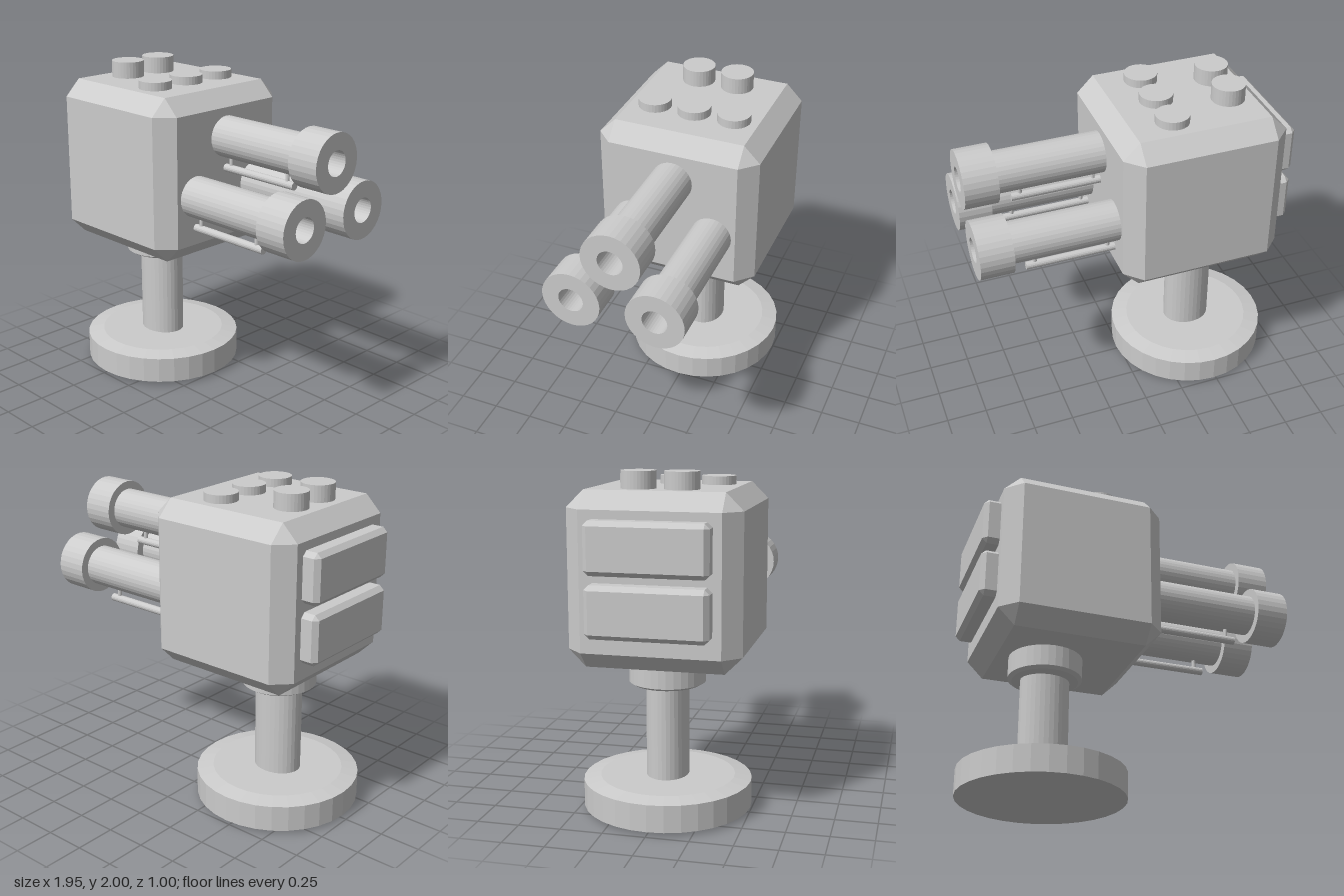
import * as THREE from 'three';
import { ConvexGeometry } from 'three/addons/geometries/ConvexGeometry.js';

const AXIS_X = -0.475; // vertical axis of the stand
const BODY_X = -0.375;

const material = new THREE.MeshStandardMaterial({ color: 0xcccccc, flatShading: true });

function add(parent, name, geometry, x = 0, y = 0, z = 0) {
  const mesh = new THREE.Mesh(geometry, material);
  mesh.name = name;
  mesh.position.set(x, y, z);
  parent.add(mesh);
  return mesh;
}

// Box with every edge cut at 45 degrees and triangular corners
function chamferedBox(w, h, d, c) {
  const points = [];
  const [x, y, z] = [w / 2, h / 2, d / 2];
  for (const sx of [-1, 1]) for (const sy of [-1, 1]) for (const sz of [-1, 1]) {
    points.push(
      new THREE.Vector3(sx * x, sy * (y - c), sz * (z - c)),
      new THREE.Vector3(sx * (x - c), sy * y, sz * (z - c)),
      new THREE.Vector3(sx * (x - c), sy * (y - c), sz * z)
    );
  }
  return new ConvexGeometry(points);
}

// Solid of revolution from [radius, height] pairs, bottom to top
const turned = (profile, segments = 32) =>
  new THREE.LatheGeometry(profile.map(([r, y]) => new THREE.Vector2(r, y)), segments);

// Barrel with muzzle, bore and the slim rod hanging below it
function createBarrel() {
  const barrel = new THREE.Group();
  const tube = turned([
    [0, 0.1], [0.125, 0.1], [0.125, 0.775], [0.175, 0.775],
    [0.175, 0.975], [0.075, 0.975], [0.075, 0.775], [0, 0.775],
  ]).rotateZ(-Math.PI / 2);
  add(barrel, 'barrelTube', tube);
  const rod = new THREE.CylinderGeometry(0.024, 0.024, 0.55, 16).rotateZ(Math.PI / 2);
  add(barrel, 'rod', rod, 0.4, -0.195, 0);
  for (const x of [0.17, 0.62]) {
    add(barrel, 'rodPost', new THREE.CylinderGeometry(0.0125, 0.0125, 0.09, 12), x, -0.155, 0);
  }
  return barrel;
}

export function createModel() {
  const model = new THREE.Group();
  model.name = 'turret';

  // Stand: disc, oval post and collar
  add(model, 'base', turned([[0, 0], [0.4, 0], [0.5, 0.02], [0.5, 0.18], [0.4, 0.2], [0, 0.2]]), AXIS_X);
  add(model, 'post', new THREE.CylinderGeometry(0.15, 0.15, 0.64, 32).scale(1, 1, 0.125 / 0.15), AXIS_X, 0.49);
  add(model, 'collar', turned([[0, 0.755], [0.2, 0.755], [0.225, 0.77], [0.225, 0.92], [0, 0.92]]), AXIS_X);

  // Head with two raised panels at the rear
  add(model, 'body', chamferedBox(1, 1, 1, 0.1), BODY_X, 1.4);
  for (const y of [1.25, 1.6]) {
    add(model, 'rearPanel', chamferedBox(0.2, 0.3, 0.7, 0.028), -0.875, y);
  }

  // Three barrels in a triangle
  for (const [y, z] of [[1.625, 0], [1.3, 0.25], [1.3, -0.25]]) {
    const barrel = createBarrel();
    barrel.name = 'barrel';
    barrel.position.set(0, y, z);
    model.add(barrel);
  }

  // Buttons on the roof
  for (const z of [-0.125, 0.125]) {
    add(model, 'tallButton', new THREE.CylinderGeometry(0.1, 0.1, 0.12, 32), -0.625, 1.94, z);
  }
  for (const z of [-0.25, 0, 0.25]) {
    add(model, 'lowButton', new THREE.CylinderGeometry(0.1, 0.1, 0.07, 32), -0.225, 1.915, z);
  }
  return model;
}
